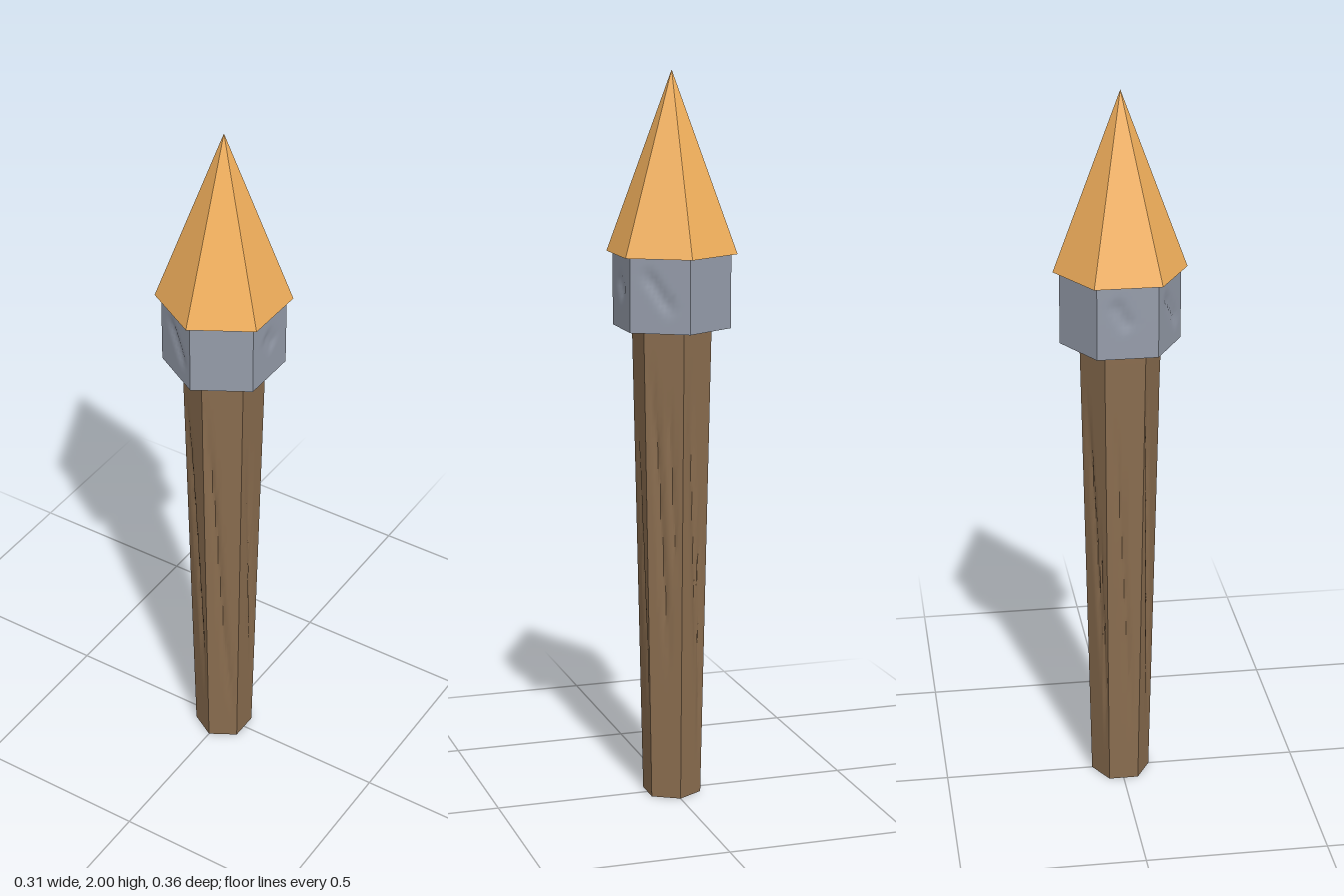
import * as THREE from 'three';
import { mergeGeometries, toCreasedNormals } from 'three/addons/utils/BufferGeometryUtils.js';

const SIDES = 6;

// Hexagonal prism with corners on the z axis, nicked by grooves.
// Groove: [s0, y0, s1, y1, width, depth]; s counts sides round from +z towards +x.
function carvedPrism(rBottom, rTop, y0, y1, cols, rows, grooves) {
  const wall = new THREE.PlaneGeometry(1, 1, SIDES * cols, rows);
  const pos = wall.attributes.position, uv = wall.attributes.uv;
  const corner = (k) => new THREE.Vector2(Math.sin(k * Math.PI / 3), Math.cos(k * Math.PI / 3));

  for (let i = 0; i < pos.count; i++) {
    const s = uv.getX(i) * SIDES, v = uv.getY(i);
    const k = Math.min(Math.floor(s + 1e-5), SIDES - 1);
    const r = THREE.MathUtils.lerp(rBottom, rTop, v);
    const y = THREE.MathUtils.lerp(y0, y1, v);

    // depth of the deepest groove at this point, fading towards its ends
    let cut = 0;
    for (const [sa, ya, sb, yb, width, depth] of grooves) {
      const dx = (sb - sa) * r, dy = yb - ya;
      let ds = s - sa;
      ds -= SIDES * Math.round((ds - (sb - sa) / 2) / SIDES);
      const t = THREE.MathUtils.clamp((ds * r * dx + (y - ya) * dy) / (dx * dx + dy * dy), 0, 1);
      const dist = Math.hypot(ds * r - t * dx, y - ya - t * dy);
      const fade = Math.min(1, 4 * t, 4 * (1 - t));
      cut = Math.max(cut, depth * fade * Math.max(0, 1 - dist / width));
    }
    const p = corner(k).lerp(corner(k + 1), s - k).multiplyScalar(r - cut);
    pos.setXYZ(i, p.x, y, p.y);
  }

  const cap = (r, y, dir) => new THREE.CircleGeometry(r, SIDES, Math.PI / 2)
    .rotateX(-dir * Math.PI / 2).translate(0, y, 0);
  const merged = mergeGeometries([wall, cap(rTop, y1, 1), cap(rBottom, y0, -1)]);
  return toCreasedNormals(merged, 0.75);
}

function addPart(group, name, geometry, color, flatShading = false) {
  const mesh = new THREE.Mesh(geometry, new THREE.MeshStandardMaterial({ color, flatShading }));
  mesh.name = name;
  group.add(mesh);
}

export function createModel() {
  const group = new THREE.Group();
  group.name = 'torch';

  // tapered wooden handle with long slanting grain cuts
  const grain = [
    [5.1, 1.22, 5.8, 0.15, 0.013, 0.009],
    [0.05, 1.25, 0.7, 0.12, 0.013, 0.009],
    [0.3, 0.7, 0.85, 0.08, 0.011, 0.007],
    [1.25, 1.1, 1.85, 0.2, 0.011, 0.006],
    [2.15, 1.25, 2.6, 0.35, 0.013, 0.009],
    [2.6, 1.15, 2.85, 0.6, 0.01, 0.007],
    [3.2, 1.2, 3.75, 0.3, 0.013, 0.008],
    [3.65, 0.85, 3.9, 0.1, 0.01, 0.007],
    [4.2, 1.15, 4.75, 0.15, 0.012, 0.008],
  ];
  addPart(group, 'handle', carvedPrism(0.082, 0.11, 0, 1.315, 14, 40, grain), 0x8a6d4f);

  // metal collar with dents on four of its sides
  const dents = [
    [5.25, 1.48, 5.85, 1.36, 0.022, 0.008],
    [1.35, 1.46, 1.65, 1.4, 0.03, 0.007],
    [2.2, 1.49, 2.75, 1.36, 0.022, 0.009],
    [4.25, 1.48, 4.55, 1.39, 0.025, 0.008],
  ];
  addPart(group, 'collar', carvedPrism(0.163, 0.163, 1.315, 1.515, 14, 16, dents), 0x969dab);

  // pointed six-sided flame
  const flame = new THREE.ConeGeometry(0.18, 0.485, SIDES).translate(0, 1.7575, 0);
  addPart(group, 'flame', flame, 0xf2b05c, true);

  return group;
}
